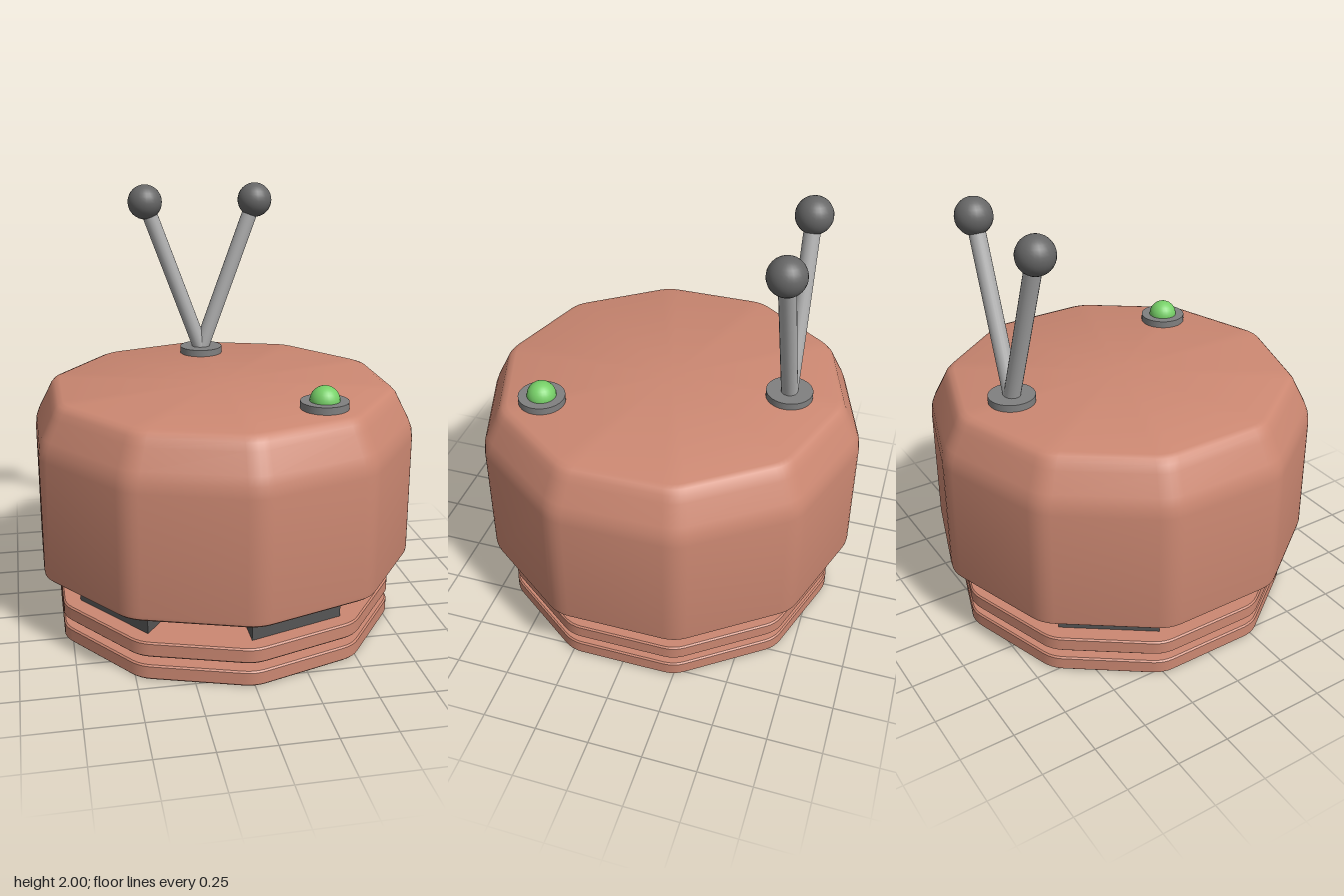
import * as THREE from 'three';
import { toCreasedNormals } from 'three/addons/utils/BufferGeometryUtils.js';

const SIDES = 10;
const STEP = (Math.PI * 2) / SIDES;
const mat = (color) => new THREE.MeshStandardMaterial({ color });

// Outline of a decagon with filleted corners and an apothem of 1, as [x, z]
function roundedDecagon(fillet, steps = 4) {
  const centre = (1 - fillet) / Math.cos(STEP / 2);
  const pts = [];
  for (let i = 0; i < SIDES; i++) {
    for (let j = 0; j <= steps; j++) {
      const a = i * STEP + (j / steps - 0.5) * STEP;
      pts.push([
        centre * Math.sin(i * STEP) + fillet * Math.sin(a),
        centre * Math.cos(i * STEP) + fillet * Math.cos(a),
      ]);
    }
  }
  return pts;
}

// Sweeps a bottom-to-top profile of [apothem, y] around the decagon, capped at both ends
function decagonBody(profile, fillet) {
  const ring = roundedDecagon(fillet);
  const n = ring.length;
  const pos = [];
  const index = [];
  for (const [r, y] of profile) for (const [x, z] of ring) pos.push(x * r, y, z * r);
  for (let k = 0; k < profile.length - 1; k++) {
    for (let i = 0; i < n; i++) {
      const a = k * n + i;
      const b = k * n + ((i + 1) % n);
      index.push(a, b, b + n, a, b + n, a + n);
    }
  }
  const bottom = pos.length / 3;
  const last = (profile.length - 1) * n;
  pos.push(0, profile[0][1], 0, 0, profile[profile.length - 1][1], 0);
  for (let i = 0; i < n; i++) {
    const j = (i + 1) % n;
    index.push(bottom, j, i, bottom + 1, last + i, last + j);
  }
  const geo = new THREE.BufferGeometry();
  geo.setAttribute('position', new THREE.Float32BufferAttribute(pos, 3));
  geo.setIndex(index);
  return toCreasedNormals(geo, 0.56);
}

// Ten-sided core whose radius may change from side to side
function core(radii, y0, y1) {
  const shape = new THREE.Shape();
  radii.forEach(([r, corner], i) => {
    const x = r * Math.sin(corner * STEP);
    const y = -r * Math.cos(corner * STEP);
    if (i === 0) shape.moveTo(x, y);
    else shape.lineTo(x, y);
  });
  const geo = new THREE.ExtrudeGeometry(shape, { depth: y1 - y0, bevelEnabled: false });
  return geo.rotateX(-Math.PI / 2).translate(0, y0, 0);
}

export function createModel() {
  const group = new THREE.Group();
  const shell = mat(0xcc8872);
  const dark = mat(0x555555);
  const discGrey = mat(0x808080);
  const rodGrey = mat(0xb0b0b0);
  const ballGrey = mat(0x666666);
  const green = mat(0x77d068);

  const add = (name, geo, material, x = 0, y = 0, z = 0) => {
    const mesh = new THREE.Mesh(geo, material);
    mesh.name = name;
    mesh.position.set(x, y, z);
    group.add(mesh);
    return mesh;
  };

  // Main housing with a small lower bevel and a broad sloping shoulder
  add('housing', decagonBody([
    [0.84, 0.32], [0.853, 0.324], [0.863, 0.333], [0.866, 0.35],
    [0.866, 0.9], [0.86, 0.95], [0.845, 0.99],
    [0.8, 1.08], [0.785, 1.112], [0.768, 1.131], [0.745, 1.14],
  ], 0.2), shell);

  // Two flat base plates
  for (const [name, y] of [['lowerPlate', 0], ['upperPlate', 0.11]]) {
    add(name, decagonBody([
      [0.778, y], [0.785, y + 0.007], [0.785, y + 0.063], [0.778, y + 0.07],
    ], 0.2), shell);
  }

  // Toothed neck: every other side stands out as a block
  const teeth = [];
  for (let i = 0; i < SIDES; i += 2) {
    teeth.push([0.55, i], [0.743, i], [0.743, i + 1], [0.55, i + 1]);
  }
  add('toothedNeck', core(teeth, 0.175, 0.33), dark);

  // Plain spacer between the plates
  const plain = Array.from({ length: SIDES }, (_, i) => [0.635, i]);
  add('plateSpacer', core(plain, 0.065, 0.115), dark);

  // Antenna pair on a round mount at the back
  const backZ = -0.56;
  const disc = new THREE.CylinderGeometry(0.107, 0.107, 0.035, 32);
  add('antennaMount', disc, discGrey, 0, 1.1555, backZ);
  const root = new THREE.Vector3(0, 1.16, backZ);
  for (const [side, s] of [['left', 1], ['right', -1]]) {
    const tip = new THREE.Vector3(s * 0.277, 1.915, backZ);
    const dir = tip.clone().sub(root);
    const mid = root.clone().add(tip).multiplyScalar(0.5);
    const rod = add(`${side}AntennaRod`,
      new THREE.CylinderGeometry(0.038, 0.038, dir.length(), 20), rodGrey, mid.x, mid.y, mid.z);
    rod.quaternion.setFromUnitVectors(new THREE.Vector3(0, 1, 0), dir.normalize());
    add(`${side}AntennaBall`, new THREE.SphereGeometry(0.085, 24, 16), ballGrey, tip.x, tip.y, tip.z);
  }

  // Indicator lamp at the front left
  add('lampMount', disc, discGrey, 0.365, 1.1555, 0.5);
  add('lamp', new THREE.SphereGeometry(0.067, 24, 16), green, 0.365, 1.173, 0.5);

  return group;
}
